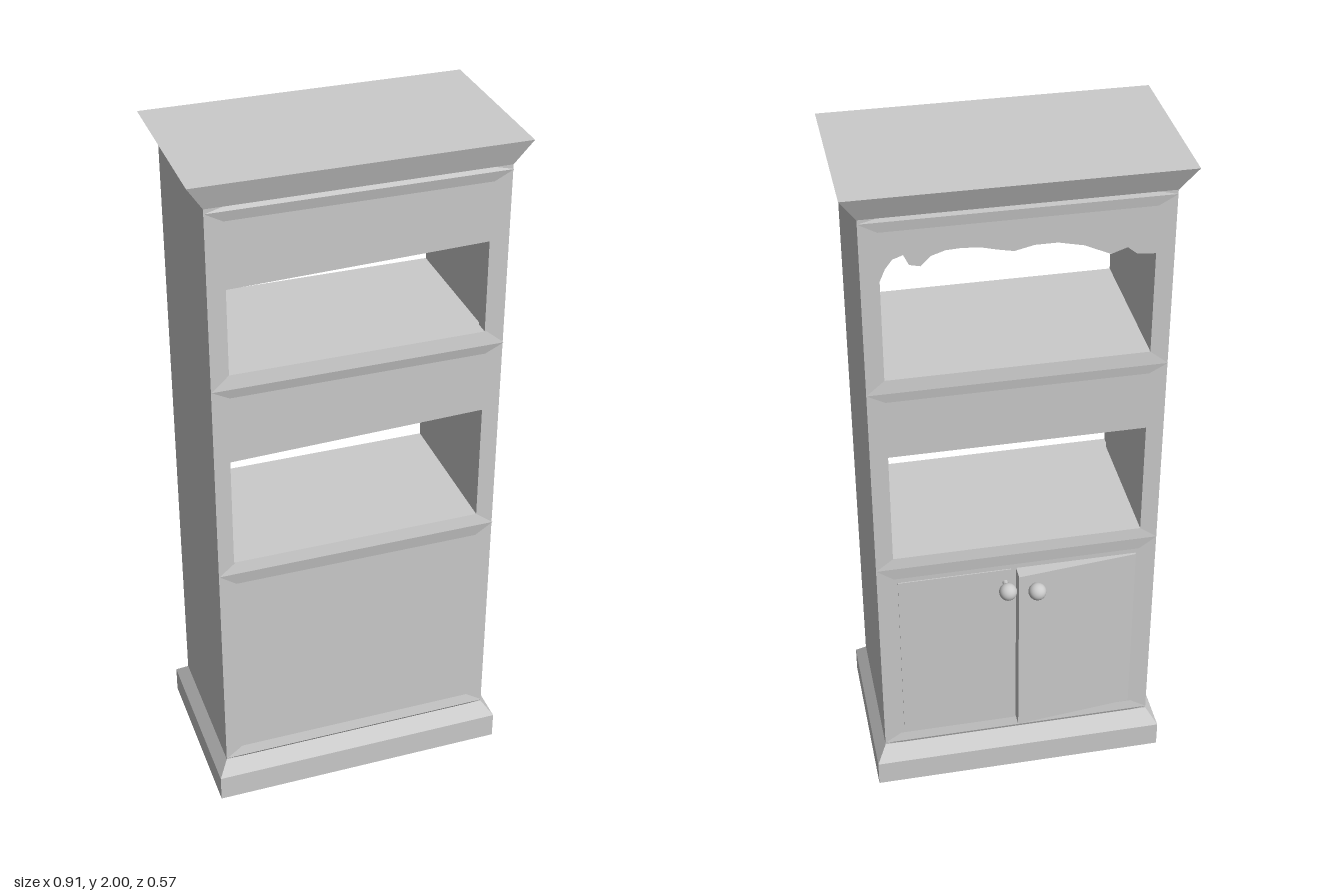
import * as THREE from 'three';
import { ConvexGeometry } from 'three/addons/geometries/ConvexGeometry.js';

const material = new THREE.MeshStandardMaterial({ color: 0xcccccc, flatShading: true });
const smooth = new THREE.MeshStandardMaterial({ color: 0xcccccc });
const v = (x, y, z) => new THREE.Vector3(x, y, z);

export function createModel() {
  const group = new THREE.Group();
  group.name = 'bookcase';

  const add = (name, geometry, mat = material) => {
    const mesh = new THREE.Mesh(geometry, mat);
    mesh.name = name;
    group.add(mesh);
    return mesh;
  };
  // Box given by its limits
  const box = (name, x0, x1, y0, y1, z0, z1) =>
    add(name, new THREE.BoxGeometry(x1 - x0, y1 - y0, z1 - z0))
      .position.set((x0 + x1) / 2, (y0 + y1) / 2, (z0 + z1) / 2);
  // Rectangle of four points at one height: half width, z limits
  const ring = (y, w, z0, z1) => [v(-w, y, z0), v(w, y, z0), v(w, y, z1), v(-w, y, z1)];
  const taper = (name, a, b) => add(name, new ConvexGeometry([...a, ...b]));

  // Plinth and crown moulding
  taper('plinth', ring(0, 0.44, -0.242, 0.285), ring(0.08, 0.44, -0.242, 0.285));
  taper('plinthBevel', ring(0.08, 0.44, -0.242, 0.285), ring(0.12, 0.41, -0.2, 0.25));
  taper('crown', ring(1.93, 0.41, -0.2, 0.25), ring(2, 0.455, -0.23, 0.272));

  // Sides, shelves and ceiling
  for (const s of [-1, 1]) {
    box('sidePanel', Math.min(s * 0.36, s * 0.41), Math.max(s * 0.36, s * 0.41), 0.12, 1.93, -0.16, 0.21);
  }
  box('cabinetFloor', -0.36, 0.36, 0.12, 0.16, -0.16, 0.21);
  box('lowerShelf', -0.36, 0.36, 0.77, 0.845, -0.16, 0.21);
  box('upperShelf', -0.36, 0.36, 1.35, 1.45, -0.16, 0.21);
  box('ceiling', -0.36, 0.36, 1.86, 1.93, -0.16, 0.21);

  // Face frames with openings
  const frame = (name, z, holes) => {
    const shape = new THREE.Shape([[-0.41, 0.12], [0.41, 0.12], [0.41, 1.93], [-0.41, 1.93]]
      .map(p => new THREE.Vector2(...p)));
    for (const h of holes) shape.holes.push(new THREE.Path(h.map(p => new THREE.Vector2(...p))));
    add(name, new THREE.ExtrudeGeometry(shape, { depth: 0.04, bevelEnabled: false })).position.z = z;
  };
  frame('plainFrame', 0.21, [
    [[-0.365, 0.845], [0.36, 0.845], [0.36, 1.2], [-0.365, 1.18]],
    [[-0.36, 1.45], [0.355, 1.45], [0.355, 1.72], [-0.36, 1.7]],
  ]);
  const scallop = [[0.36, 1.75], [0.345, 1.785], [0.326, 1.81], [0.298, 1.82], [0.284, 1.79],
    [0.255, 1.783], [0.227, 1.81], [0.19, 1.822], [0.149, 1.824], [0.1, 1.82], [0.057, 1.809],
    [0.014, 1.8], [-0.04, 1.812], [-0.1, 1.812], [-0.17, 1.796], [-0.24, 1.763], [-0.284, 1.778],
    [-0.31, 1.756], [-0.36, 1.752]];
  frame('scallopedFrame', -0.2, [
    [[-0.36, 0.845], [0.36, 0.845], [0.36, 1.2], [-0.36, 1.2]],
    [[-0.36, 1.45], [0.36, 1.45], ...scallop],
  ]);

  // Shallow ridges along the shelf edges, both faces
  for (const [y0, ym, y1] of [[0.12, 0.13, 0.16], [0.77, 0.81, 0.845], [1.38, 1.41, 1.45], [1.89, 1.92, 1.93]]) {
    for (const [z, d] of [[0.25, 0.007], [-0.2, -0.004]]) {
      add('ridge', new ConvexGeometry([-1, 1].flatMap(s =>
        [v(s * 0.36, y0, z), v(s * 0.41, ym, z + d), v(s * 0.36, y1, z)])));
    }
  }

  // Doors: one nearly flush, one slightly ajar
  box('flushDoor', 0.02, 0.35, 0.17, 0.755, -0.203, -0.19);
  const ajar = (x, z) => [v(x, 0.17, z), v(x, 0.755, z)];
  add('ajarDoor', new ConvexGeometry([
    ...ajar(-0.35, -0.206), ...ajar(0.005, -0.243), ...ajar(0.005, -0.195), ...ajar(-0.35, -0.195)]));

  // Knobs on short stems
  for (const [x, z] of [[-0.045, -0.262], [0.038, -0.247]]) {
    add('knob', new THREE.SphereGeometry(0.026, 24, 16), smooth).position.set(x, 0.71, z);
    const stem = add('knobStem', new THREE.CylinderGeometry(0.008, 0.008, 0.05, 12), smooth);
    stem.rotation.x = Math.PI / 2;
    stem.position.set(x, 0.71, z + 0.025);
  }
  return group;
}
